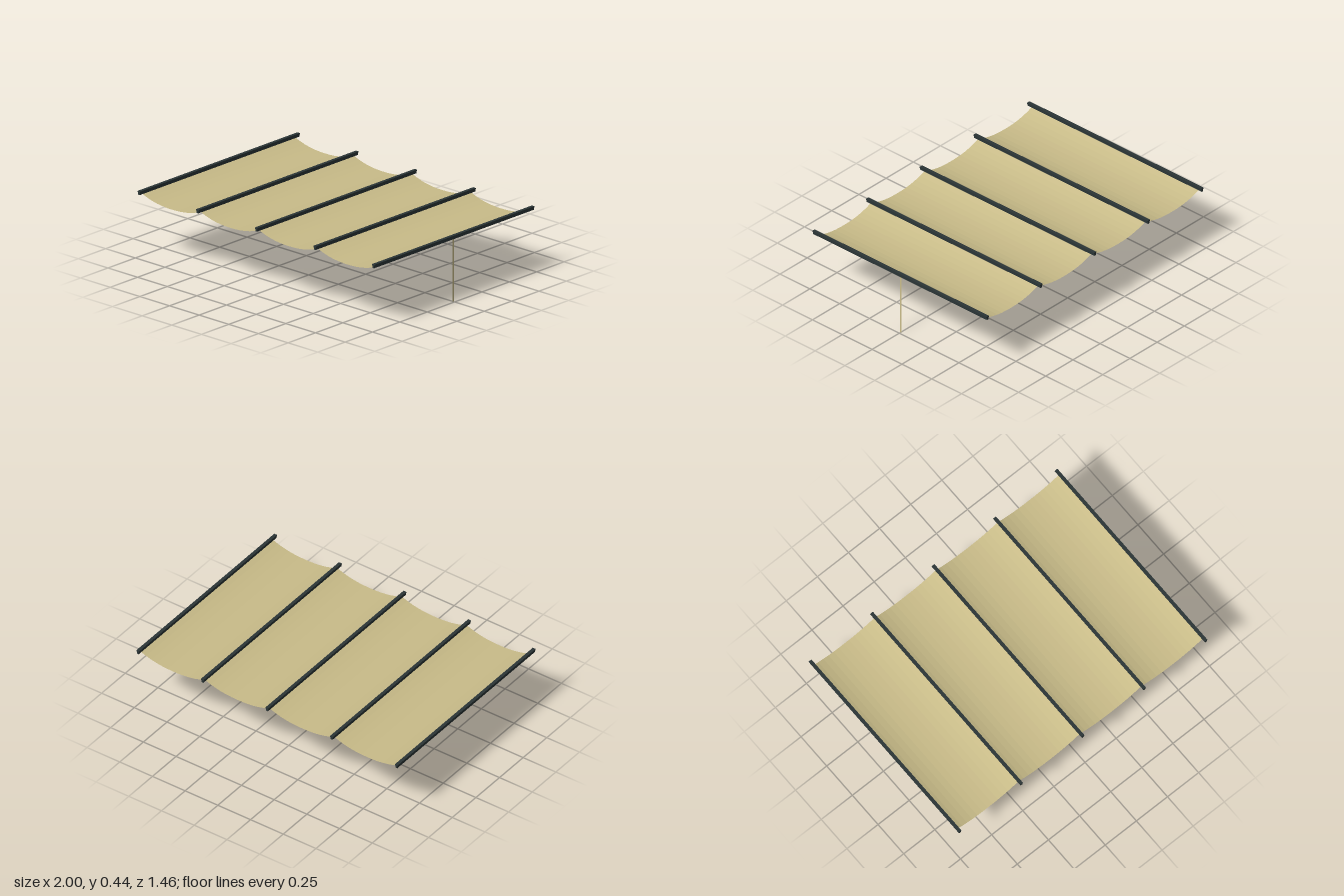
import * as THREE from 'three';

const BARS = 5, SPACING = 0.494, BAR_BOTTOM = 0.413, BAR_TOP = 0.437;
const CLOTH_LENGTH = 1.4, BAR_LENGTH = 1.46, SAG = 0.044, STRIPS = 12;

export function createModel() {
  const model = new THREE.Group();
  model.name = 'saggingCanopy';

  const metal = new THREE.MeshStandardMaterial({ color: 0x2b3536 });
  metal.name = 'dark metal';
  const fabric = new THREE.MeshStandardMaterial({ color: 0xc9bc89, side: THREE.DoubleSide, flatShading: true });
  fabric.name = 'sand fabric';

  const add = (geometry, material, name, x, y = 0) => {
    const mesh = new THREE.Mesh(geometry, material);
    mesh.name = name;
    mesh.position.set(x, y, 0);
    model.add(mesh);
  };

  // Crossbar profile: a wider top flange over a narrower web
  const profile = new THREE.Shape([
    [-0.007, BAR_BOTTOM], [0.007, BAR_BOTTOM], [0.007, 0.427], [0.011, 0.429],
    [0.011, BAR_TOP], [-0.011, BAR_TOP], [-0.011, 0.429], [-0.007, 0.427],
  ].map(([x, y]) => new THREE.Vector2(x, y)));
  const bar = new THREE.ExtrudeGeometry(profile, { depth: BAR_LENGTH, bevelEnabled: false });
  bar.translate(0, 0, -BAR_LENGTH / 2);

  // Fabric bay: a flat sheet hanging in a curve between two bars
  const bay = new THREE.PlaneGeometry(SPACING, CLOTH_LENGTH, STRIPS, 1);
  bay.rotateX(-Math.PI / 2);
  const p = bay.attributes.position;
  for (let i = 0; i < p.count; i++) {
    const t = Math.abs(p.getX(i)) / (SPACING / 2);
    p.setY(i, BAR_BOTTOM - SAG * (1 - t ** 2.3));
  }
  bay.computeVertexNormals();

  for (let i = 0; i < BARS; i++) {
    const x = (i - (BARS - 1) / 2) * SPACING;
    add(bar, metal, `crossbar${i + 1}`, x);
    if (i < BARS - 1) add(bay, fabric, `fabricBay${i + 1}`, x + SPACING / 2);
  }

  // Flat pull strap hanging from the middle of one end bar
  const strap = new THREE.PlaneGeometry(0.013, BAR_BOTTOM);
  strap.rotateY(Math.PI / 2);
  add(strap, fabric, 'pullStrap', 2 * SPACING, BAR_BOTTOM / 2);

  return model;
}
